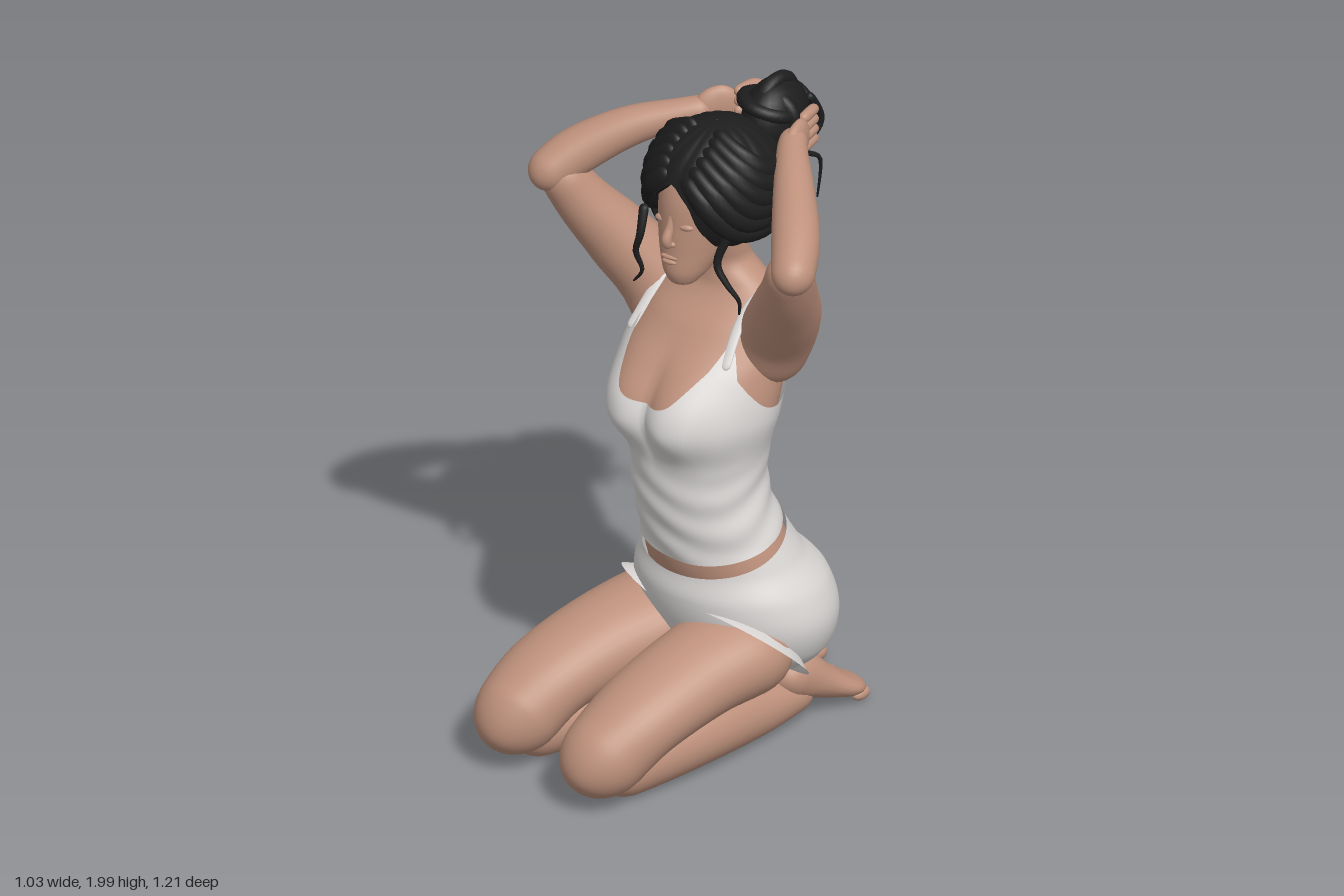
import * as THREE from 'three';

const mat = (name, color) => {
  const m = new THREE.MeshStandardMaterial({ color, side: THREE.DoubleSide });
  m.name = name;
  return m;
};
const V = (x, y, z) => new THREE.Vector3(x, y, z);
const cat = (a, b, c, d, t) => b + 0.5 * t * (c - a + t * (2 * a - 5 * b + 4 * c - d + t * (3 * (b - c) + d - a)));

// Smooth interpolation between rows of numbers, by index or by first column
function between(keys, i, k) {
  const at = (j) => keys[Math.max(0, Math.min(keys.length - 1, j))];
  return keys[0].map((_, c) => cat(at(i - 1)[c], at(i)[c], at(i + 1)[c], at(i + 2)[c], k));
}
function sample(keys, t) {
  const f = t * (keys.length - 1), i = Math.min(Math.floor(f), keys.length - 2);
  return between(keys, i, f - i);
}
function lookup(keys, x) {
  let i = 0;
  while (i < keys.length - 2 && x > keys[i + 1][0]) i++;
  return between(keys, i, Math.max(0, Math.min(1, (x - keys[i][0]) / (keys[i + 1][0] - keys[i][0]))));
}

// Smooth skin over rings: fn(angle, v) gives a point
function surface(fn, nu, nv) {
  const pos = [], idx = [];
  for (let j = 0; j <= nv; j++) for (let i = 0; i < nu; i++) pos.push(...fn((i / nu) * Math.PI * 2, j / nv).toArray());
  for (let j = 0; j < nv; j++) for (let i = 0; i < nu; i++) {
    const k = (i + 1) % nu, a = j * nu + i, b = j * nu + k, c = b + nu, d = a + nu;
    idx.push(a, b, c, a, c, d);
  }
  const g = new THREE.BufferGeometry();
  g.setAttribute('position', new THREE.Float32BufferAttribute(pos, 3));
  g.setIndex(idx);
  g.computeVertexNormals();
  return g;
}

// Rounded limb through rows [x, y, z, halfWidth, halfHeight]
function limb(keys, { ref = V(0, 1, 0), shear = 0, open = false, nu = 24, nv = 40 } = {}) {
  const point = (t) => V(...sample(keys, t));
  const first = V(...keys[0]), last = V(...keys[keys.length - 1]);
  return surface((a, v) => {
    const t = (1 - Math.cos(Math.PI * v)) / 2, c = sample(keys, t), p = V(c[0], c[1], c[2]);
    const T = point(Math.min(1, t + 0.01)).sub(point(Math.max(0, t - 0.01))).normalize();
    const S = ref.clone().cross(T).normalize(), U = T.clone().cross(S);
    const r = Math.max(c[3], c[4]), d = Math.min(p.distanceTo(first), p.distanceTo(last)) / r;
    const cap = open || d >= 1 ? 1 : Math.sqrt(Math.max(0, 1 - (1 - d) ** 2));
    return p.addScaledVector(S, Math.cos(a) * c[3] * cap).addScaledVector(U, Math.sin(a) * c[4] * cap)
      .addScaledVector(T, shear * t * Math.sin(a));
  }, nu, nv);
}

// Horizontal body rings from rows [y, centreX, centreZ, halfWidth, halfDepth]; angle 0 is the front
const rings = (keys, yaw, bump = () => 0) => (a, y, off = 0) => {
  const [, cx, cz, rx, rz] = lookup(keys, y);
  const lx = Math.sin(a) * (rx + off), lz = Math.cos(a) * (rz + off) + bump(lx, y, Math.cos(a));
  return V(cx + lx * Math.cos(yaw) - lz * Math.sin(yaw), y, cz + lx * Math.sin(yaw) + lz * Math.cos(yaw));
};
const gauss = (x, s) => Math.exp(-((x / s) ** 2));
const fold = (a) => Math.abs(a > Math.PI ? a - 2 * Math.PI : a);

const bust = (x, y) => 0.085 * Math.exp(-(Math.hypot((Math.abs(x) - 0.105) / 0.13, (y - 1.06) / (y > 1.06 ? 0.14 : 0.105)) ** 2.5));
const torsoAt = rings([[0.5, 0.06, -0.1, 0.24, 0.18], [0.58, 0.05, -0.085, 0.232, 0.185], [0.66, 0.038, -0.065, 0.213, 0.178],
  [0.8, 0.015, -0.04, 0.195, 0.17], [0.92, 0.01, -0.045, 0.2, 0.175], [1.05, -0.003, -0.07, 0.248, 0.175],
  [1.2, 0, -0.115, 0.25, 0.18], [1.3, 0.005, -0.155, 0.225, 0.155], [1.38, 0.01, -0.18, 0.182, 0.108],
  [1.42, 0.012, -0.175, 0.135, 0.09], [1.46, 0.013, -0.165, 0.085, 0.08], [1.5, 0.015, -0.15, 0.077, 0.077],
  [1.6, 0.02, -0.11, 0.07, 0.07]], 0.2, (x, y, f) => f > 0
  ? Math.min(1, f * 2.5) * bust(x, y)
  : 0.012 * gauss(x, 0.035) * gauss(y - 1.15, 0.25));

const pelvisAt = rings([[0.19, 0.08, -0.19, 0.03, 0.03], [0.23, 0.08, -0.18, 0.2, 0.14], [0.3, 0.075, -0.165, 0.282, 0.222],
  [0.4, 0.07, -0.15, 0.316, 0.255], [0.5, 0.065, -0.125, 0.295, 0.25], [0.58, 0.055, -0.095, 0.248, 0.208],
  [0.7, 0.04, -0.06, 0.212, 0.187]], 0.3, (x, y, f) => (f < 0 ? 0.02 * gauss(x, 0.03) * gauss(y - 0.3, 0.12) : 0));

const headAt = rings([[1.452, 0.005, 0.04, 0.004, 0.004], [1.465, 0.005, 0.035, 0.04, 0.04], [1.5, 0.007, 0.015, 0.065, 0.075],
  [1.56, 0.01, -0.02, 0.092, 0.11], [1.64, 0.015, -0.045, 0.11, 0.135], [1.73, 0.02, -0.06, 0.115, 0.145],
  [1.82, 0.025, -0.08, 0.105, 0.13], [1.9, 0.03, -0.09, 0.05, 0.07]], 0.17);

// Point on the hair shell: angle round the head, polar angle from the crown
const hairAt = (a, phi, k = 1) => {
  const x = Math.sin(a) * Math.sin(phi) * 0.192 * k, z = Math.cos(a) * Math.sin(phi) * 0.205 * k;
  return V(0.04 + x * 0.985 - z * 0.17, 1.725 + 0.203 * k * Math.cos(phi), -0.09 + x * 0.17 + z * 0.985);
};

export function createModel() {
  const model = new THREE.Group();
  const skin = mat('skin', 0xbe917c), cloth = mat('white cloth', 0xdad7d5), black = mat('black hair', 0x1d1d1d);
  const add = (name, geo, material, parent = model) => {
    const m = new THREE.Mesh(geo, material);
    m.name = name;
    parent.add(m);
    return m;
  };
  const blob = (name, p, sx, sy, sz, material = skin, parent = model) => {
    const m = add(name, new THREE.SphereGeometry(1, 24, 16), material, parent);
    m.position.copy(p);
    m.scale.set(sx, sy, sz);
    return m;
  };

  // Torso and tank top
  add('torso', surface((a, v) => torsoAt(a, 0.5 + 1.1 * v), 72, 70), skin);
  const neckline = [[0, 1.1], [0.35, 1.12], [0.62, 1.21], [0.8, 1.28], [1.0, 1.19], [1.5, 1.1], [1.95, 1.1], [2.22, 1.17], [2.6, 1.1], [3.15, 1.07]];
  add('tankTop', surface((a, v) => {
    const hem = 0.66 - 0.05 * Math.cos(a), y = hem + (lookup(neckline, fold(a))[1] - hem) * v;
    const crease = 0.003 * Math.sin(60 * y + 3 * Math.sin(2 * a)) * (1 - THREE.MathUtils.smoothstep(y, 0.8, 0.95));
    return torsoAt(a, y, 0.01 + crease);
  }, 120, 60), cloth);
  for (const s of [-1, 1]) {
    const path = [[0.8, 1.22], [0.82, 1.31], [0.98, 1.37], [1.57, 1.4], [2.05, 1.36], [2.18, 1.26], [2.22, 1.13]];
    add('strap', limb(path.map(([a, y]) => [...torsoAt(s * a, y, 0.008).toArray(), 0.007, 0.016]), { ref: V(1, 0, 0), nu: 12 }), cloth);
  }

  // Shorts
  add('shorts', surface((a, v) => pelvisAt(a, 0.19 + (0.44 - 0.062 * Math.cos(a)) * v, 0.003), 80, 40), cloth);

  // Legs: shared heights and sizes, each with its own ground track [x, z]
  const thighSize = [[0.34, 0.14, 0.125], [0.335, 0.17, 0.135], [0.3, 0.157, 0.125], [0.235, 0.145, 0.115], [0.15, 0.125, 0.118], [0.1, 0.105, 0.098]];
  const calfSize = [[0.09, 0.08, 0.085], [0.1, 0.1, 0.098], [0.105, 0.105, 0.1], [0.09, 0.078, 0.082], [0.085, 0.056, 0.06], [0.085, 0.05, 0.045]];
  const join = (track, size) => track.map(([x, z], i) => [x, size[i][0], z, size[i][1], size[i][2]]);
  const legs = [
    { side: 'left', medial: -1, foot: [0.208, -0.17, -0.12],
      thigh: [[0.21, -0.13], [0.185, 0], [0.125, 0.17], [0.065, 0.36], [0.02, 0.49], [0, 0.6]],
      calf: [[0.02, 0.5], [0.07, 0.3], [0.12, 0.1], [0.17, -0.08], [0.205, -0.2], [0.22, -0.28]] },
    { side: 'right', medial: 1, foot: [-0.05, -0.29, -0.2],
      thigh: [[-0.02, -0.18], [-0.1, -0.07], [-0.2, 0.12], [-0.28, 0.29], [-0.32, 0.41], [-0.335, 0.51]],
      calf: [[-0.32, 0.42], [-0.25, 0.22], [-0.18, 0.02], [-0.11, -0.15], [-0.06, -0.27], [-0.04, -0.37]] },
  ];
  for (const leg of legs) {
    const thigh = join(leg.thigh, thighSize);
    add(leg.side + 'Thigh', limb(thigh, { nu: 36 }), skin);
    // Leg of the shorts starts inside the hips and ends in a slanted hem
    const [hip, top] = thigh;
    add(leg.side + 'ShortsLeg', limb([[hip[0], hip[1], hip[2], 0.08, 0.08],
      [...[0, 1, 2].map((i) => hip[i] * 0.15 + top[i] * 0.85), top[3] + 0.011, top[4] + 0.014]],
    { shear: 0.15, open: true, nu: 40 }), cloth);
    add(leg.side + 'Calf', limb(join(leg.calf, calfSize), { nu: 32 }), skin);
    // Foot lies sole up, toes pointing back
    const foot = new THREE.Group();
    foot.name = leg.side + 'Foot';
    foot.position.set(leg.foot[0], 0, leg.foot[1]);
    foot.rotation.y = leg.foot[2];
    model.add(foot);
    add('sole', limb([[0, 0.165, 0.03, 0.055, 0.05], [0, 0.145, -0.06, 0.064, 0.072], [0, 0.1, -0.14, 0.078, 0.055],
      [0, 0.058, -0.22, 0.1, 0.038], [0, 0.035, -0.31, 0.1, 0.028]]), skin, foot);
    for (let i = 0; i < 5; i++) {
      const r = i ? 0.021 - i * 0.0007 : 0.025;
      blob('toe', V(leg.medial * (0.072 - i * 0.037), 0.028, -0.287 + i * i * 0.002), r, r, 0.034, skin, foot);
    }
  }

  // Arms raised, hands gathering the hair
  const upperSize = [0.1, 0.108, 0.1, 0.08, 0.062], foreSize = [0.058, 0.069, 0.058, 0.043, 0.04];
  const sized = (pts, sizes) => pts.map((p, i) => [...p, sizes[i], sizes[i]]);
  const arms = [
    { side: 'left',
      upper: [[0.16, 1.14, -0.13], [0.235, 1.3, -0.1], [0.315, 1.43, -0.015], [0.39, 1.56, 0.09], [0.45, 1.7, 0.175]],
      fore: [[0.475, 1.635, 0.215], [0.4, 1.71, 0.07], [0.3, 1.785, -0.08], [0.22, 1.835, -0.2], [0.2, 1.845, -0.26]],
      palm: [[0.22, 1.835, -0.17], [0.21, 1.835, -0.24], [0.2, 1.835, -0.31]], tip: [0.185, -0.37] },
    { side: 'right',
      upper: [[-0.15, 1.14, -0.19], [-0.225, 1.3, -0.19], [-0.31, 1.43, -0.135], [-0.385, 1.56, -0.06], [-0.45, 1.7, 0.005]],
      fore: [[-0.485, 1.635, 0.05], [-0.41, 1.71, -0.05], [-0.29, 1.785, -0.14], [-0.16, 1.83, -0.22], [-0.09, 1.845, -0.27]],
      palm: [[-0.13, 1.84, -0.235], [-0.08, 1.85, -0.28], [-0.025, 1.855, -0.32]], tip: [0.015, -0.385] },
  ];
  for (const arm of arms) {
    add(arm.side + 'UpperArm', limb(sized(arm.upper, upperSize), { nu: 32 }), skin);
    add(arm.side + 'Forearm', limb(sized(arm.fore, foreSize), { nu: 28 }), skin);
    add(arm.side + 'Palm', limb(arm.palm.map((p, i) => [...p, 0.028 - i * 0.003, [0.042, 0.06, 0.062][i]])), skin);
    const [x, y, z] = arm.palm[2], [tx, tz] = arm.tip;
    for (let i = 0; i < 4; i++) {
      const h = y + 0.045 - i * 0.031;
      add('finger', limb([[x, h, z + 0.03, 0.016, 0.017], [x * 0.6 + tx * 0.4, h + 0.002, z * 0.6 + tz * 0.4 - 0.015, 0.016, 0.016],
        [tx, h - 0.01, tz, 0.012, 0.012]], { nu: 12, nv: 16 }), skin);
    }
  }

  // Head and face
  add('head', surface((a, v) => headAt(a, 1.452 + 0.448 * (1 - Math.cos(Math.PI * v)) / 2), 48, 48), skin);
  const ahead = (a, y, d) => [...headAt(a, y, d).toArray()];
  add('nose', limb([[...ahead(0, 1.69, -0.014), 0.012, 0.012], [...ahead(0, 1.645, -0.002), 0.013, 0.013],
    [...ahead(0, 1.61, 0.01), 0.016, 0.015], [...ahead(0, 1.587, -0.004), 0.016, 0.016]], { ref: V(1, 0, 0), nu: 16 }), skin);
  blob('upperLip', headAt(0, 1.552, -0.005), 0.03, 0.008, 0.011);
  blob('lowerLip', headAt(0, 1.538, -0.004), 0.025, 0.009, 0.012);
  for (const s of [-1, 1]) {
    blob('eyelid', headAt(s * 0.42, 1.655, -0.01), 0.026, 0.012, 0.015);
    blob('nostril', headAt(s * 0.12, 1.596, -0.003), 0.01, 0.009, 0.012);
    blob('ear', headAt(s * 1.75, 1.63, 0.004), 0.014, 0.042, 0.028);
  }

  // Hair shell parted at the front, with locks swept over it
  const hairline = [[0, 1.22], [0.3, 1.45], [0.52, 1.9], [0.75, 2.2], [1.4, 2.25], [2.2, 2.5], [3.15, 2.62]];
  add('hair', surface((a, v) => {
    const phi = 0.01 + lookup(hairline, fold(a))[1] * (1 - v);
    return hairAt(a, phi, 0.985 + 0.02 * Math.abs(Math.sin(9 * a + 2 * phi)) * Math.sin(phi));
  }, 144, 40), black);
  for (const s of [-1, 1]) for (let i = 0; i < 6; i++) {
    const path = [[0.15 + i * 0.08, 1.1 - i * 0.16], [0.6 + i * 0.14, 1.5 - i * 0.14], [1.1 + i * 0.12, 1.95 - i * 0.17],
      [1.9 + i * 0.1, 1.95 - i * 0.15], [2.8, 1.5 - i * 0.08]];
    add('lock', limb(path.map(([a, p], j) => [...hairAt(s * a, p, 0.965).toArray(), 0.018 + 0.01 * Math.sin(j * 0.8), 0.032]),
      { nu: 12 }), black);
  }

  // Gathered bun with coils
  blob('bun', V(0.1, 1.855, -0.3), 0.085, 0.12, 0.125, black);
  for (let i = 0; i < 7; i++) {
    const coil = add('bunCoil', new THREE.TorusGeometry(0.06 + 0.006 * (i % 3), 0.022, 10, 32), black);
    coil.position.set(0.1 + 0.015 * Math.cos(i * 2.1), 1.875 + 0.035 * Math.sin(i * 1.7), -0.32 + 0.045 * Math.cos(i * 1.3));
    coil.rotation.set(i * 0.9, i * 1.3, 0);
  }

  // Loose strands
  const strands = [
    [[-0.12, 1.67, 0.04], [-0.115, 1.59, 0.07], [-0.13, 1.53, 0.07], [-0.115, 1.47, 0.06], [-0.15, 1.42, 0.05]],
    [[0.165, 1.66, 0.04], [0.14, 1.57, 0.07], [0.17, 1.51, 0.07], [0.205, 1.46, 0.06], [0.2, 1.41, 0.05]],
  ];
  for (let i = 0; i < 9; i++) {
    const x = 0.04 + 0.014 * i, z = -0.34 - 0.018 * ((i * 3) % 5);
    strands.push([[x, 1.9, z + 0.02], [x + 0.01, 1.8, z - 0.03], [x - 0.01, 1.72, z + 0.02 * Math.sin(i)],
      [x + 0.015, 1.64 + 0.02 * (i % 3), z - 0.02], [x, 1.55 + 0.03 * (i % 4), z + 0.03 * Math.cos(i * 2)]]);
  }
  for (const s of strands) add('strand', limb(s.map((p, j) => [...p, 0.015 - j * 0.003, 0.015 - j * 0.003]), { ref: V(1, 0, 0), nu: 8, nv: 30 }), black);

  return model;
}
